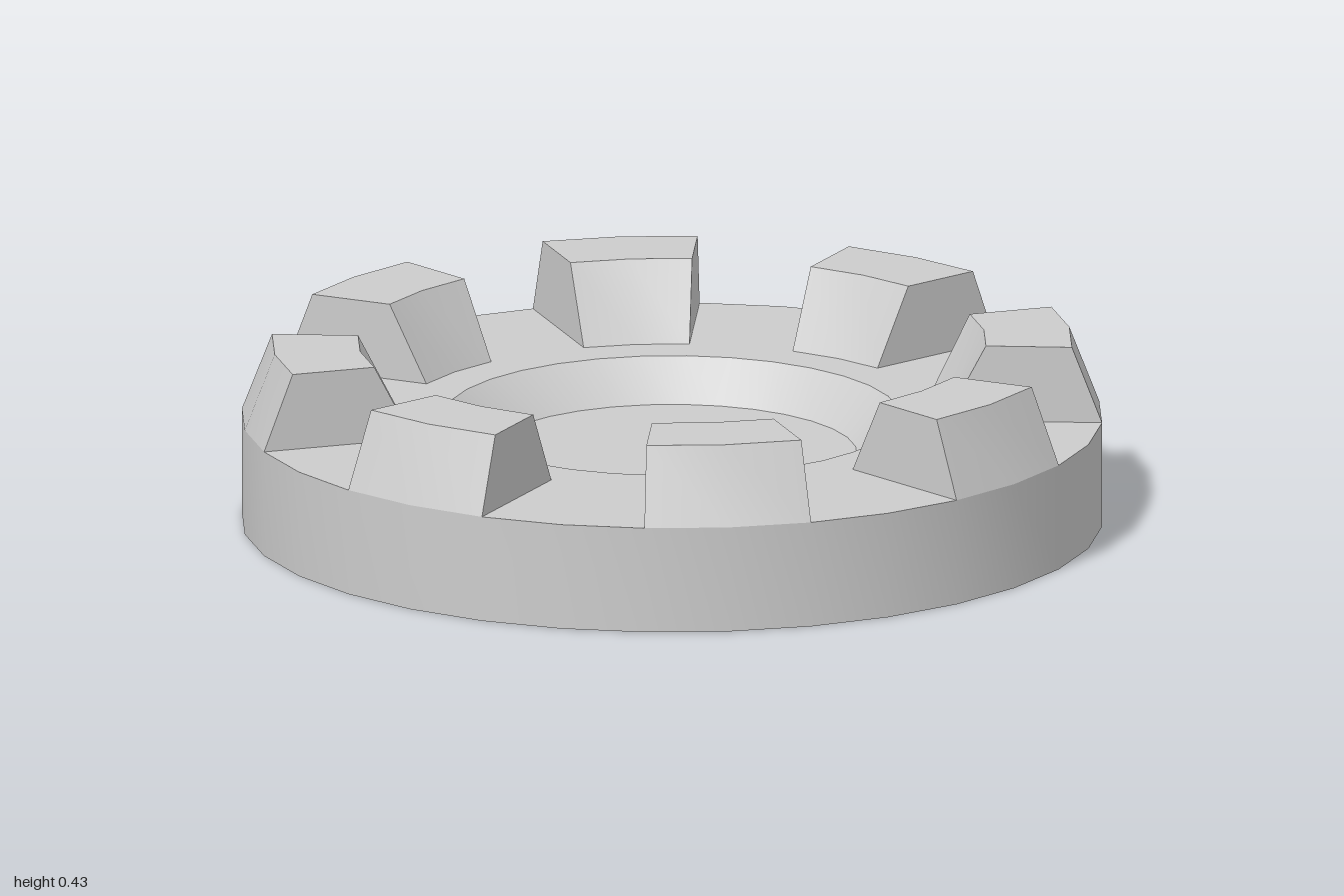
import * as THREE from 'three';
import { toCreasedNormals } from 'three/addons/utils/BufferGeometryUtils.js';

const SEG = Math.PI / 16;       // the ring has 32 sides
const RIM = 0.25, TOP = 0.43, FLOOR = 0.16;
const TOOTH_IN = 0.635;
const TEETH = 8;

const material = new THREE.MeshStandardMaterial({ color: 0xcccccc, side: THREE.DoubleSide });

function addMesh(parent, name, geometry) {
  const mesh = new THREE.Mesh(geometry, material);
  mesh.name = name;
  parent.add(mesh);
}

// Sweep a [radius, height] profile around y, over whole ring sides
function sweep(profile, firstSide = 0, sides = 32) {
  const points = profile.map(([r, y]) => new THREE.Vector2(r, y));
  const lathe = new THREE.LatheGeometry(points, sides, firstSide * SEG, sides * SEG);
  return toCreasedNormals(lathe, Math.PI / 6);
}

export function createModel() {
  const model = new THREE.Group();
  model.name = 'toothedRing';

  // Hollow body, open underneath: outer wall, then inner deck and sunken dish
  addMesh(model, 'outerWall', sweep([[1, 0], [1, RIM]]));
  addMesh(model, 'innerDeck', sweep([[TOOTH_IN, RIM], [0.53, RIM]]));
  addMesh(model, 'dishSlope', sweep([[0.53, RIM], [0.43, FLOOR]]));
  addMesh(model, 'dishFloor', new THREE.CircleGeometry(0.43, 32).rotateX(-Math.PI / 2).translate(0, FLOOR, 0));

  // Hollow teeth, two sides wide, with deck filling the gaps between them
  const profile = [[1, RIM], [0.93, TOP], [0.73, TOP], [TOOTH_IN, RIM]];
  const toothShell = sweep(profile, -1, 2);
  const toothSide = new THREE.ShapeGeometry(
    new THREE.Shape(profile.map(([r, y]) => new THREE.Vector2(r, y))));
  const gapDeck = sweep([[1, RIM], [TOOTH_IN, RIM]], 1, 2);

  for (let i = 0; i < TEETH; i++) {
    const tooth = new THREE.Group();
    tooth.name = 'tooth';
    tooth.rotation.y = i * 4 * SEG;
    addMesh(tooth, 'toothShell', toothShell);
    for (const s of [-1, 1]) {
      addMesh(tooth, 'toothSide', toothSide.clone().rotateY(s * SEG - Math.PI / 2));
    }
    addMesh(tooth, 'gapDeck', gapDeck);
    model.add(tooth);
  }
  return model;
}
